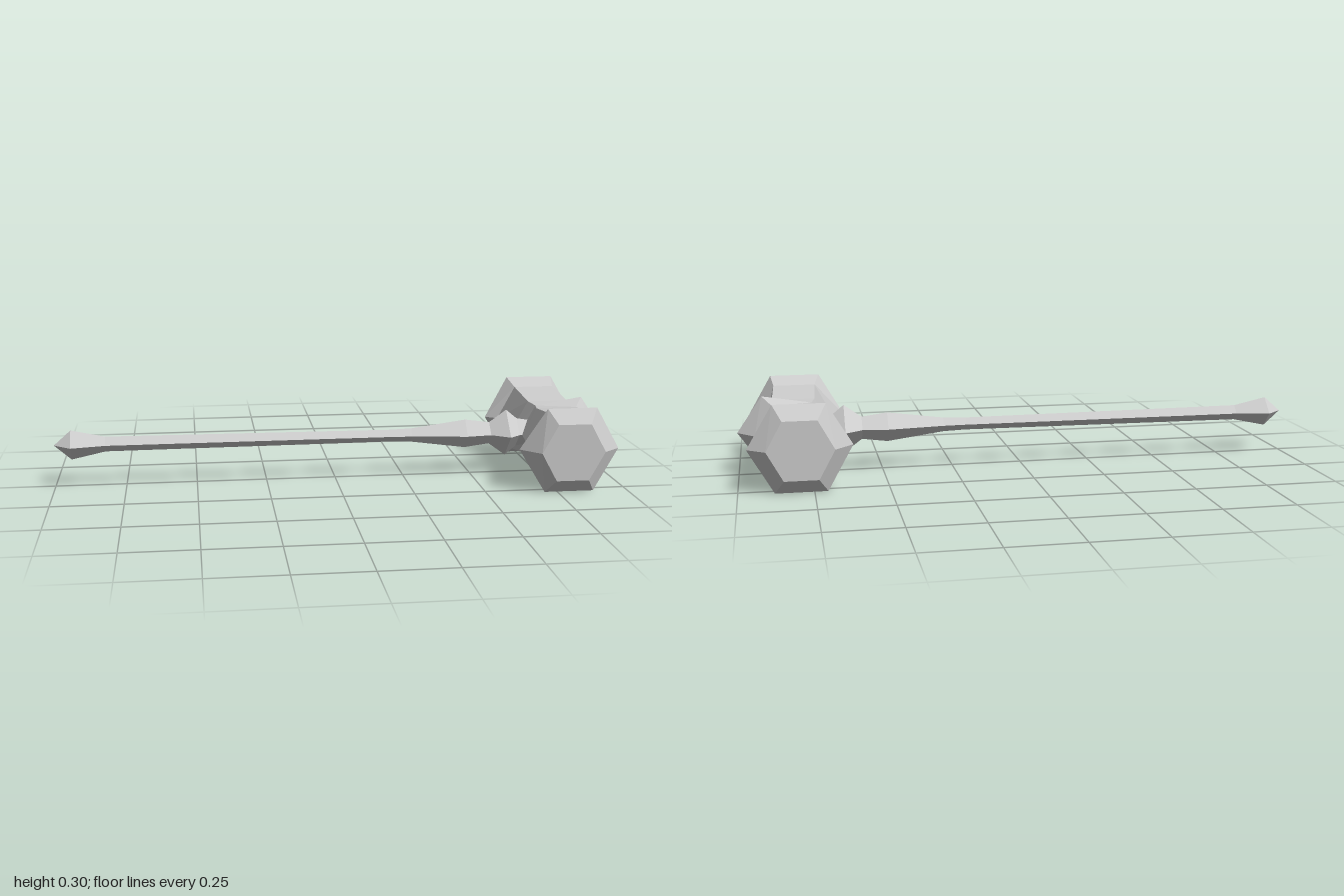
import * as THREE from 'three';

const AXIS_Y = 0.15; // height of the handle axis and the head centre

// Head cross-sections from striking face to middle.
// Each: right corner [x, z], upper right [x, h, z], upper left [x, h, z], left corner [x, z]
const SECTIONS = [
  [[0.905, 0.322], [0.85, 0.1, 0.322], [0.735, 0.1, 0.322], [0.68, 0.322]], // striking face
  [[0.967, 0.272], [0.88, 0.149, 0.281], [0.705, 0.149, 0.281], [0.617, 0.254]], // rim
  [[0.905, 0.145], [0.87, 0.122, 0.222], [0.722, 0.122, 0.222], [0.658, 0.225]], // neck
  [[0.94, 0.07], [0.878, 0.101, 0.056], [0.73, 0.101, 0.06], [0.68, 0.07]], // waist
  [[1.0, 0], [0.913, 0.126, 0], [0.742, 0.098, 0], [0.69, 0]], // middle ridge
];

// Expands a section to six corners, mirrored below the axis
function ring([r, ur, ul, l], side) {
  const p = (x, h, z) => [x, AXIS_Y + h, z * side];
  return [
    p(r[0], 0, r[1]), p(...ur), p(...ul),
    p(l[0], 0, l[1]), p(ul[0], -ul[1], ul[2]), p(ur[0], -ur[1], ur[2]),
  ];
}

// One half of the head: side = 1 for the front, -1 for the back
function headHalf(side) {
  const pos = [];
  const tri = (a, b, c) => pos.push(...a, ...(side > 0 ? b : c), ...(side > 0 ? c : b));
  const rings = SECTIONS.map((s) => ring(s, side));

  // striking face
  for (let j = 1; j < 5; j++) tri(rings[0][0], rings[0][j], rings[0][j + 1]);

  // flanks, creased from each side corner towards the waist
  for (let i = 0; i < rings.length - 1; i++) {
    const a = rings[i], b = rings[i + 1];
    for (let j = 0; j < 6; j++) {
      const k = (j + 1) % 6;
      if (j % 3 === 2) {
        tri(a[j], b[j], a[k]);
        tri(b[j], b[k], a[k]);
      } else {
        tri(a[j], b[j], b[k]);
        tri(a[j], b[k], a[k]);
      }
    }
  }
  const geo = new THREE.BufferGeometry();
  geo.setAttribute('position', new THREE.Float32BufferAttribute(pos, 3));
  geo.computeVertexNormals();
  return geo;
}

// Four-sided bar along x from [x, radius] points, corners up, down, front and back
function bar(points) {
  const geo = new THREE.LatheGeometry(points.map(([x, r]) => new THREE.Vector2(r, x)), 4);
  geo.rotateZ(-Math.PI / 2);
  geo.translate(0, AXIS_Y, 0);
  return geo;
}

export function createModel() {
  const steel = new THREE.MeshStandardMaterial({ color: 0xcccccc });
  steel.name = 'light grey';
  steel.flatShading = true;

  const model = new THREE.Group();
  model.name = 'hammer';
  const add = (name, geo) => {
    const mesh = new THREE.Mesh(geo, steel);
    mesh.name = name;
    model.add(mesh);
  };

  // handle with its pointed pommel and swelling below the head
  add('pommel', bar([[-1, 0], [-0.94, 0.053], [-0.82, 0.027]]));
  add('handle', bar([[-0.82, 0.027], [0.2, 0.022], [0.28, 0.025], [0.48, 0.052], [0.57, 0.04]]));
  add('collar', bar([[0.57, 0.04], [0.632, 0.085], [0.672, 0.052], [0.74, 0.04]]));

  // double-faced head
  add('headFront', headHalf(1));
  add('headBack', headHalf(-1));
  return model;
}
